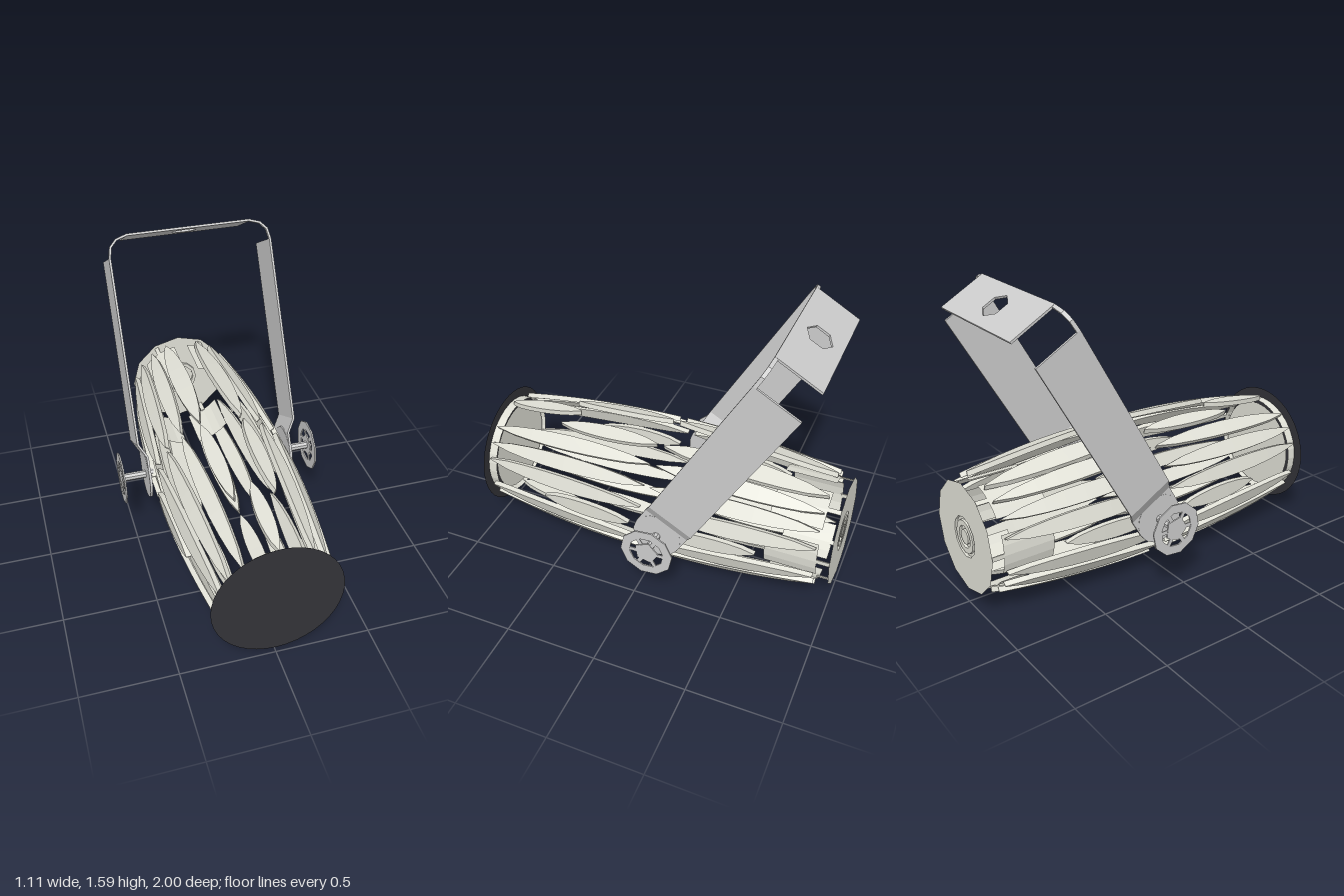
import * as THREE from 'three';

const AXIS_Y = 0.385; // height of the lamp axis
const mat = (color) => new THREE.MeshStandardMaterial({ color, flatShading: true, side: THREE.DoubleSide });
const grey = mat(0xcccccc), pale = mat(0xe0e0d6), dark = mat(0x333338);

function add(parent, name, geometry, material) {
  const mesh = new THREE.Mesh(geometry, material);
  mesh.name = name;
  parent.add(mesh);
  return mesh;
}

// Barrel radius along the lamp axis
const barrel = (z) => 0.386 - 0.083 * z * z;

// Slender tapered stave that follows the barrel from z0 to z1
function staveGeometry(z0, z1, width, thickness = 0.028) {
  const g = new THREE.BoxGeometry(1, 1, 1, 1, 1, 8);
  const p = g.attributes.position;
  for (let i = 0; i < p.count; i++) {
    const t = p.getZ(i) + 0.5;
    const z = z0 + (z1 - z0) * t;
    const w = width * (0.06 + 0.94 * Math.pow(Math.max(0, Math.sin(Math.PI * t)), 0.65));
    const r = barrel(z) - (p.getY(i) > 0 ? 0 : thickness);
    p.setXYZ(i, p.getX(i) * w, r, z);
  }
  g.computeVertexNormals();
  return g;
}

// Sheet-metal strip: a path in XY given thickness, extruded across z
function stripGeometry(points, thickness, width) {
  const path = points.map(([x, y]) => new THREE.Vector2(x, y));
  const offset = path.map((p, i) => {
    const a = path[Math.max(i - 1, 0)], b = path[Math.min(i + 1, path.length - 1)];
    const d = b.clone().sub(a).normalize();
    return new THREE.Vector2(p.x - d.y * thickness, p.y + d.x * thickness);
  });
  const shape = new THREE.Shape([...path, ...offset.reverse()]);
  return new THREE.ExtrudeGeometry(shape, { depth: width, bevelEnabled: false }).translate(0, 0, -width / 2);
}

const disc = (r, depth, sides) => new THREE.CylinderGeometry(r, r, depth, sides);

function createLamp() {
  const lamp = new THREE.Group();
  lamp.name = 'lamp';
  lamp.position.y = AXIS_Y;

  // Staves around the barrel: shorter ones at the sides and near the top and bottom
  const sets = [
    { name: 'frontStave', full: staveGeometry(0.02, 0.98, 0.085), side: staveGeometry(0.08, 0.6, 0.09),
      shoulder: staveGeometry(0.02, 0.6, 0.085), top: staveGeometry(0.53, 0.97, 0.08) },
    { name: 'rearStave', full: staveGeometry(-0.92, -0.02, 0.09), side: staveGeometry(-0.62, -0.06, 0.09),
      shoulder: staveGeometry(-0.92, -0.02, 0.11) },
  ];
  for (const set of sets) {
    for (let i = 0; i < 20; i++) {
      const fromTop = Math.min(i % 10, 10 - (i % 10));
      const g = fromTop === 0 ? set.top : fromTop === 1 ? set.shoulder : fromTop === 5 ? set.side : set.full;
      if (g) add(lamp, set.name, g, pale).rotation.z = (i * Math.PI) / 10;
    }
  }

  // Front lens and the rim behind it
  add(lamp, 'lens', new THREE.CircleGeometry(0.34, 40), dark).position.z = 1;
  add(lamp, 'lensRim', new THREE.CylinderGeometry(0.285, 0.285, 0.05, 32, 1, true).rotateX(Math.PI / 2), pale).position.z = 0.974;
  add(lamp, 'lensBack', new THREE.CircleGeometry(0.26, 32), pale).position.z = 0.96;

  // Six curved panels of the rear cap with open slots between, each tied to the plate by a tab
  const panelGeo = new THREE.CylinderGeometry(0.28, 0.28, 0.28, 4, 1, true, Math.PI / 2 - 0.38, 0.76).rotateX(Math.PI / 2);
  const tabGeo = new THREE.BoxGeometry(0.006, 0.025, 0.08);
  for (let i = 0; i < 6; i++) {
    const segment = new THREE.Group();
    segment.name = 'rearCapSegment';
    segment.rotation.z = (i * Math.PI) / 3;
    lamp.add(segment);
    add(segment, 'rearCapPanel', panelGeo, pale).position.z = -0.79;
    add(segment, 'rearCapTab', tabGeo, pale).position.set(0.276, 0, -0.96);
  }

  // Rear plate with a ringed socket
  const plate = [[0, -1], [0.04, -1], [0.04, -0.985], [0.06, -0.985], [0.06, -1], [0.09, -1], [0.09, -0.985],
    [0.11, -0.985], [0.11, -1], [0.297, -1]];
  add(lamp, 'rearPlate', new THREE.LatheGeometry(plate.map(([x, y]) => new THREE.Vector2(x, y)), 12).rotateX(Math.PI / 2), pale);
  return lamp;
}

function createYoke() {
  const yoke = new THREE.Group();
  yoke.name = 'yoke';
  yoke.position.set(0, AXIS_Y, -0.1);
  yoke.rotation.x = -Math.PI / 6;
  const W = 0.268;

  // Flat arm with a jog near the pivot, and a narrow corner strap up to the top plate
  const arm = stripGeometry([[0.414, 0], [0.414, 0.11], [0.455, 0.185], [0.455, 1.2]], 0.012, W);
  const strap = stripGeometry([[0.455, 1.2], [0.443, 1.26], [0.405, 1.3], [0.345, 1.319]], 0.012, 0.02);

  // Clamping knob: ring head with a pentagonal centre
  const ring = new THREE.Shape().absarc(0, 0, 0.145, 0, Math.PI * 2, false);
  ring.holes.push(new THREE.Path().absarc(0, 0, 0.095, 0, Math.PI * 2, true));
  const ringGeo = new THREE.ExtrudeGeometry(ring, { depth: 0.008, bevelEnabled: false, curveSegments: 5 }).rotateY(Math.PI / 2);

  for (const s of [1, -1]) {
    const side = new THREE.Group();
    side.name = s < 0 ? 'rightSide' : 'leftSide';
    side.rotation.y = s < 0 ? Math.PI : 0;
    yoke.add(side);
    add(side, 'arm', arm, grey);
    add(side, 'cornerStrap', strap, grey).position.z = s * (W / 2 - 0.01);
    add(side, 'armEnd', disc(W / 2, 0.014, 16).rotateZ(Math.PI / 2), grey).position.x = 0.408;
    add(side, 'pivot', disc(0.022, 0.18, 8).rotateZ(Math.PI / 2), grey).position.x = 0.46;
    add(side, 'knobRing', ringGeo, grey).position.x = 0.546;
    add(side, 'knobCentre', disc(0.068, 0.008, 5).rotateZ(Math.PI / 2), grey).position.x = 0.55;
    for (let i = 0; i < 3; i++) {
      const spoke = add(side, 'knobSpoke', new THREE.BoxGeometry(0.005, 0.2, 0.022), grey);
      spoke.position.x = 0.55;
      spoke.rotation.x = (i * Math.PI) / 3;
    }
  }

  // Top plate with a six-sided mounting hole
  const top = new THREE.Shape();
  top.moveTo(-0.345, -W / 2).lineTo(0.345, -W / 2).lineTo(0.345, W / 2).lineTo(-0.345, W / 2).closePath();
  const hole = [];
  for (let i = 0; i < 6; i++) {
    const a = (-i * Math.PI) / 3 + Math.PI / 6;
    hole.push(new THREE.Vector2(0.075 * Math.cos(a), 0.075 * Math.sin(a)));
  }
  top.holes.push(new THREE.Path(hole));
  add(yoke, 'topPlate', new THREE.ExtrudeGeometry(top, { depth: 0.012, bevelEnabled: false }).rotateX(-Math.PI / 2), grey).position.y = 1.308;
  return yoke;
}

export function createModel() {
  const model = new THREE.Group();
  model.name = 'stageLight';
  model.add(createLamp(), createYoke());
  return model;
}
